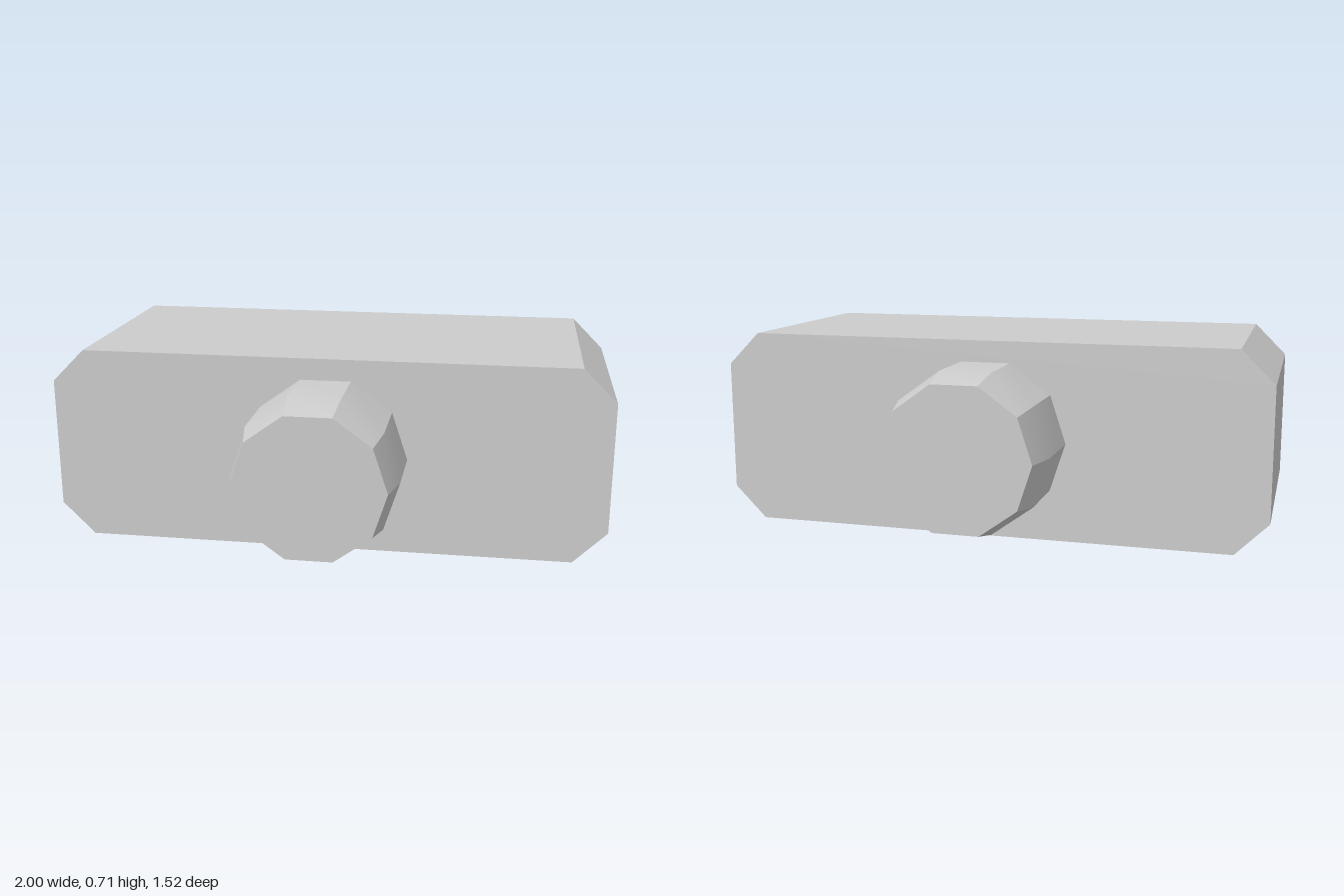
import * as THREE from 'three';
import { toCreasedNormals } from 'three/addons/utils/BufferGeometryUtils.js';

export function createModel() {
  const group = new THREE.Group();
  const lightGrey = new THREE.MeshStandardMaterial({ color: 0xcccccc });
  lightGrey.name = 'lightGrey';

  const add = (name, geometry, y) => {
    const mesh = new THREE.Mesh(geometry, lightGrey);
    mesh.name = name;
    mesh.position.y = y;
    group.add(mesh);
  };

  const height = 0.708, centreY = height / 2;

  // Block: a bar with its four long-side corners cut off
  const w = 1, h = height / 2, cut = 0.118, depth = 0.82;
  const outline = new THREE.Shape([
    [-w + cut, -h], [w - cut, -h], [w, -h + cut], [w, h - cut],
    [w - cut, h], [-w + cut, h], [-w, h - cut], [-w, -h + cut],
  ].map(([x, y]) => new THREE.Vector2(x, y)));
  const block = new THREE.ExtrudeGeometry(outline, { depth, bevelEnabled: false });
  block.translate(0, 0, -depth / 2);
  add('block', block, centreY);

  // Pin: ten-sided shaft through the block, tapering towards both ends
  const profile = [
    [0, -0.762], [0.263, -0.762], [0.291, -0.645], [0.291, -0.41],
    [0.291, 0.41], [0.291, 0.645], [0.263, 0.762], [0, 0.762],
  ].map(([r, z]) => new THREE.Vector2(r, z));
  const pin = new THREE.LatheGeometry(profile, 10, Math.PI / 2);
  pin.rotateX(Math.PI / 2);
  // Soft along the taper, sharp between the ten sides
  add('pin', toCreasedNormals(pin, 0.4), centreY);

  return group;
}
